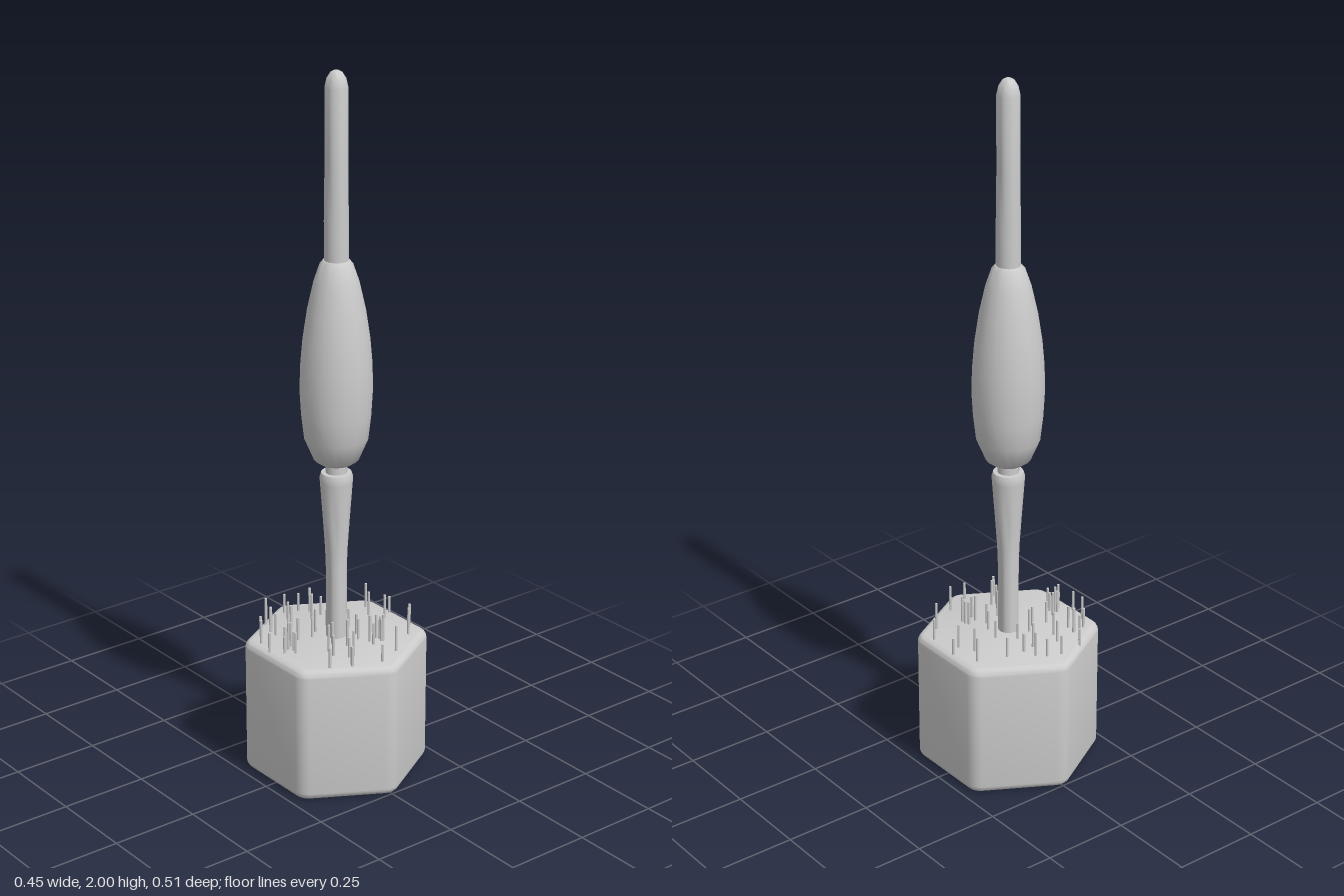
import * as THREE from 'three';
import { toCreasedNormals } from 'three/addons/utils/BufferGeometryUtils.js';

const BASE_TOP = 0.4;

// Hexagon with rounded corners, points towards +z and -z
function roundedHexagon(apothem, radius) {
  const points = [];
  const centre = (apothem - radius) / Math.cos(Math.PI / 6);
  for (let i = 0; i < 6; i++) {
    const a = Math.PI / 2 + (i * Math.PI) / 3;
    for (let j = -2; j <= 2; j++) {
      const b = a + (j * Math.PI) / 12;
      points.push(new THREE.Vector2(
        centre * Math.cos(a) + radius * Math.cos(b),
        centre * Math.sin(a) + radius * Math.sin(b)));
    }
  }
  return new THREE.Shape(points);
}

function lathe(profile, sides) {
  const geometry = new THREE.LatheGeometry(profile.map(([r, y]) => new THREE.Vector2(r, y)), sides);
  return toCreasedNormals(geometry, 0.65);
}

export function createModel() {
  const group = new THREE.Group();
  const grey = new THREE.MeshStandardMaterial({ color: 0xcccccc });
  grey.name = 'light grey';

  const add = (name, geometry, parent = group) => {
    const mesh = new THREE.Mesh(geometry, grey);
    mesh.name = name;
    parent.add(mesh);
    return mesh;
  };

  // Hexagonal block with softened edges
  const bevel = 0.022;
  const block = new THREE.ExtrudeGeometry(roundedHexagon(0.227 - bevel, 0.024), {
    depth: BASE_TOP - 0.005 - 2 * bevel,
    bevelEnabled: true, bevelSize: bevel, bevelThickness: bevel, bevelSegments: 5,
  });
  block.rotateX(-Math.PI / 2);
  block.translate(0, bevel + 0.003, 0);
  add('base', toCreasedNormals(block, 0.6));

  // Tapered stem, neck, bulb and upper rod
  add('stem', lathe([
    [0, 0.38], [0.029, 0.38], [0.029, 0.6], [0.031, 0.66], [0.037, 0.75],
    [0.045, 0.86], [0.046, 0.875], [0.042, 0.888], [0, 0.89],
  ], 20));
  add('neck', new THREE.CylinderGeometry(0.03, 0.03, 0.06, 20).translate(0, 0.905, 0));
  add('bulb', lathe([
    [0, 0.915], [0.045, 0.916], [0.062, 0.928], [0.088, 0.99], [0.096, 1.06],
    [0.1, 1.13], [0.098, 1.2], [0.092, 1.27], [0.08, 1.35], [0.062, 1.43],
    [0.045, 1.48], [0.036, 1.491], [0, 1.493],
  ], 18));
  add('rod', lathe([
    [0, 1.47], [0.033, 1.47], [0.033, 1.6], [0.031, 1.75], [0.031, 1.955],
    [0.026, 1.978], [0.016, 1.994], [0.007, 1.999], [0, 2],
  ], 20));

  // Thin pins scattered over the block, as x, z pairs in thousandths
  const pins = [
    -101, -192, -114, -176, -28, -203, 11, -188, 34, -166, -62, -141, -170, -125,
    -134, -127, -130, -130, -135, -101, -77, -107, -197, -86, 10, -124, 46, -129,
    100, -123, 179, -91, 151, -43, 208, -21, 174, 0, 201, 77, 160, 122, 66, 182,
    -5, 210, 42, 113, 46, 92, 74, 85, 78, 97, 73, 109, 78, 111, -82, 70, -88, 99,
    -60, 133, -47, 136, -142, 152, -82, 173, -87, 181, -161, 24, -154, 6, -161, -9,
    -167, -12, -145, -19, -180, 0, -185, 5, -211, -29, -104, -40,
    // pins standing in the shade of the bulb
    -45, 40, 30, 60, 60, -20, -20, 75, 15, -62, -62, -30, 48, 30, -35, -50,
  ];
  const pinGroup = new THREE.Group();
  pinGroup.name = 'pins';
  group.add(pinGroup);
  const pinGeometry = new THREE.CylinderGeometry(0.0037, 0.0037, 1, 8).translate(0, 0.5, 0);
  let seed = 7;
  for (let i = 0; i < pins.length; i += 2) {
    seed = (seed * 16807) % 2147483647;
    const pin = add('pin', pinGeometry, pinGroup);
    pin.position.set(pins[i] / 1000, BASE_TOP - 0.015, pins[i + 1] / 1000);
    pin.scale.y = 0.06 + 0.035 * (seed / 2147483647);
  }
  return group;
}
